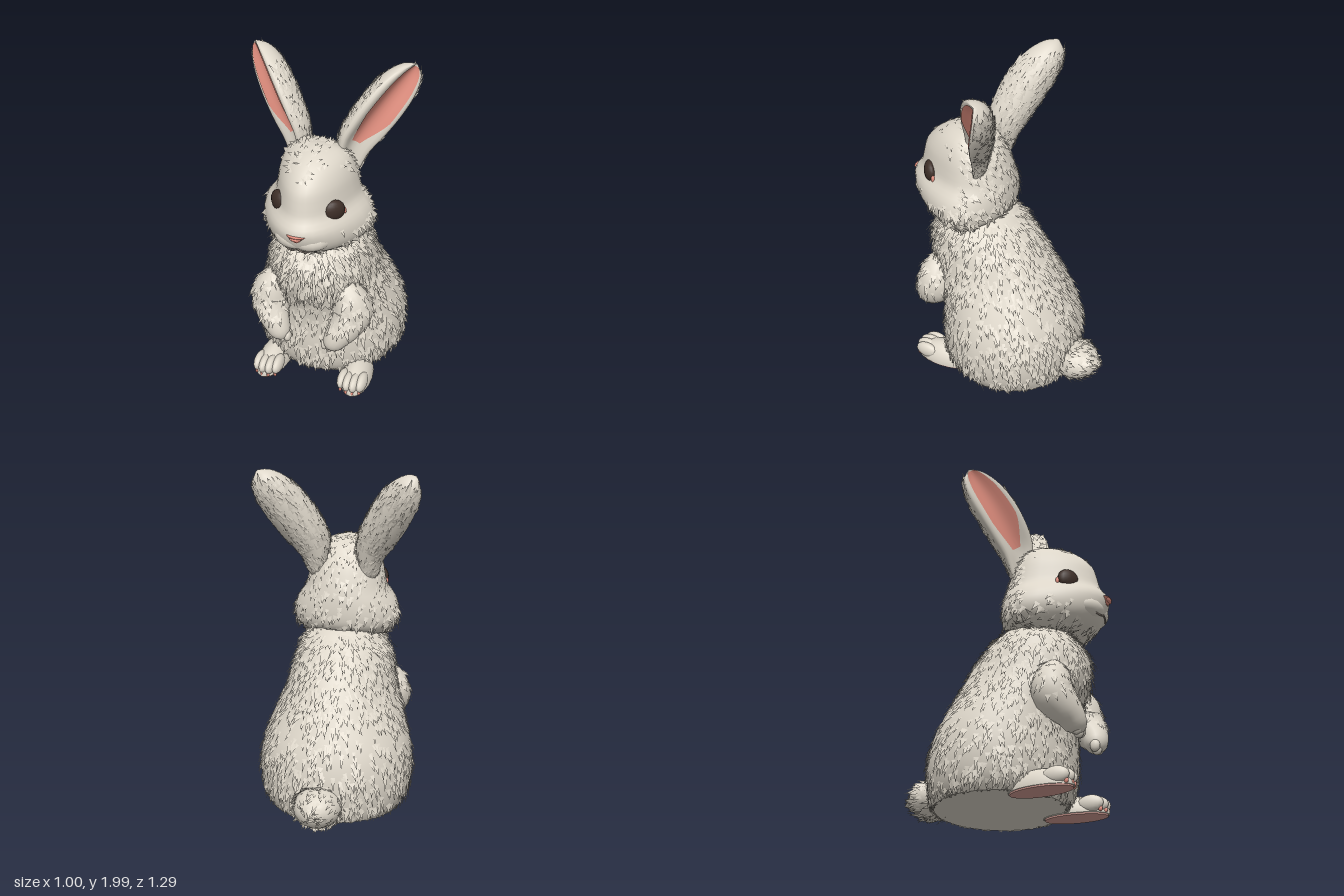
import * as THREE from 'three';
import { toCreasedNormals } from 'three/addons/utils/BufferGeometryUtils.js';

const V = (x, y, z) => new THREE.Vector3(x, y, z);
const TAU = Math.PI * 2;

let seed = 7;
const rand = () => (seed = (seed * 16807) % 2147483647) / 2147483647;
const jitter = a => (rand() - 0.5) * 2 * a;

// Smooth interpolation through rows of numbers, v in 0..1
function sample(rows, v) {
  const n = rows.length - 1, f = Math.min(Math.max(v, 0), 1) * n;
  const i = Math.min(Math.floor(f), n - 1), t = f - i;
  const [a, b, c, d] = [-1, 0, 1, 2].map(k => rows[Math.min(Math.max(i + k, 0), n)]);
  return b.map((_, k) => b[k] + 0.5 * t * (c[k] - a[k] + t * (2 * a[k] - 5 * b[k] + 4 * c[k] - d[k]
    + t * (3 * (b[k] - c[k]) + d[k] - a[k]))));
}

// Upright oval surface from rows of [y, half width, front z, back z]; rise lifts front and back
function ovals(rows, bias = 0.5, pinch = 0, rise = () => 0) {
  return (t, v) => {
    const [y, w, f, b] = sample(rows, v), zc = b + (f - b) * bias, c = Math.cos(t);
    return V(w * Math.sin(t) * (1 - pinch * Math.max(0, c)), y + rise(v) * c * c, zc + c * (c > 0 ? f - zc : zc - b));
  };
}

// Round limb along rows of [x, y, z, radius]
function limb(rows) {
  const at = v => V(...sample(rows, v).slice(0, 3));
  return (t, v) => {
    const T = at(Math.min(v + 0.02, 1)).sub(at(Math.max(v - 0.02, 0))).normalize();
    const U = V(1, 0, 0).addScaledVector(T, -T.x).normalize(), W = T.clone().cross(U);
    const r = sample(rows, v)[3];
    return at(v).addScaledVector(U, r * Math.cos(t)).addScaledVector(W, r * Math.sin(t));
  };
}

// Mesh a surface P(t, v); closed ones wrap round and get end caps
function skin(P, nu, nv, closed = true) {
  const pos = [], idx = [], cols = closed ? nu : nu + 1;
  for (let i = 0; i <= nv; i++)
    for (let j = 0; j < cols; j++) pos.push(...P(closed ? j / nu * TAU : j / nu, i / nv).toArray());
  for (let i = 0; i < nv; i++)
    for (let j = 0; j < nu; j++) {
      const k = (j + 1) % cols, a = i * cols, b = a + cols;
      idx.push(a + j, a + k, b + k, a + j, b + k, b + j);
    }
  if (closed) for (const i of [0, nv]) {
    const mid = V(0, 0, 0), c = pos.length / 3;
    for (let j = 0; j < nu; j++) mid.add(V(...pos.slice((i * nu + j) * 3, (i * nu + j) * 3 + 3)));
    pos.push(...mid.divideScalar(nu).toArray());
    for (let j = 0; j < nu; j++) {
      const a = i * nu + j, b = i * nu + (j + 1) % nu;
      idx.push(...(i ? [a, b, c] : [b, a, c]));
    }
  }
  const g = new THREE.BufferGeometry();
  g.setAttribute('position', new THREE.Float32BufferAttribute(pos, 3));
  g.setIndex(idx);
  return toCreasedNormals(g, 0.8);
}

// Flat pointed tufts of fur scattered over a surface
function tufts(P, count, { len = 0.065, lift = 0.016, flow = () => V(0, -1, 0), keep = () => true, range = [0, TAU], out = 1 }) {
  const pos = [];
  for (let i = 0; i < count; i++) {
    const t = range[0] + rand() * (range[1] - range[0]), v = 0.01 + rand() * 0.97;
    const p = P(t, v);
    if (!keep(p)) continue;
    const n = P(t + 0.02, v).sub(p).cross(P(t, v + 0.01).sub(p)).normalize().multiplyScalar(out);
    const d = flow(p).add(V(jitter(0.35), jitter(0.35), jitter(0.35)));
    d.addScaledVector(n, -d.dot(n)).normalize();
    const l = len * (0.7 + rand() * 0.6), w = 0.01 + rand() * 0.007, s = n.clone().cross(d);
    const tip = p.clone().addScaledVector(d, l).addScaledVector(n, lift * (0.7 + rand() * 0.6));
    const a = p.clone().addScaledVector(s, -w), b = p.clone().addScaledVector(s, w);
    const c = p.clone().addScaledVector(n, w * 0.35).addScaledVector(d, w);
    for (const q of [a, tip, c, c, tip, b, b, tip, a]) pos.push(q.x, Math.max(q.y, 0.01), q.z);
  }
  const g = new THREE.BufferGeometry();
  g.setAttribute('position', new THREE.Float32BufferAttribute(pos, 3));
  g.computeVertexNormals();
  return g;
}

const blob = (x, y, z, rx, ry, rz, turn = 0) =>
  new THREE.SphereGeometry(1, 16, 12).scale(rx, ry, rz).rotateY(turn).translate(x, y, z);

export function createModel() {
  const model = new THREE.Group();
  const mat = (name, color, side = THREE.FrontSide) => {
    const m = new THREE.MeshStandardMaterial({ color, side });
    m.name = name;
    return m;
  };
  const fur = mat('cream fur', 0xded7ca, THREE.DoubleSide);
  const pink = mat('pink skin', 0xe39080, THREE.DoubleSide);
  const pad = mat('pale pink sole', 0xd29d94);
  const dark = mat('dark brown eye', 0x3e2f28);
  const line = mat('mouth shadow', 0x958a80);

  const add = (name, geo, m) => {
    const mesh = new THREE.Mesh(geo, m);
    mesh.name = name;
    model.add(mesh);
  };
  // Left part plus its mirrored twin
  const pair = (name, geo, m) => {
    const g = geo.clone().scale(-1, 1, 1);
    const idx = g.index ? [...g.index.array] : [...Array(g.attributes.position.count).keys()];
    g.setIndex(idx.reverse());
    add('left ' + name, geo, m);
    add('right ' + name, g, m);
  };

  // Body
  const body = ovals([[0.015, 0.39, 0.32, -0.42], [0.1, 0.44, 0.37, -0.445], [0.24, 0.46, 0.39, -0.455], [0.4, 0.44, 0.39, -0.425],
    [0.56, 0.385, 0.42, -0.355], [0.7, 0.33, 0.48, -0.285], [0.84, 0.3, 0.49, -0.2], [0.95, 0.26, 0.44, -0.115], [1.05, 0.18, 0.35, 0.0]], 0.5, 0.02);
  add('body', skin(body, 36, 24), fur);
  add('body fur', tufts(body, 2300, { flow: p => V(p.x * 0.6, -1, p.z < 0 ? -0.3 : 0) }), fur);
  add('chest ruff', tufts(body, 420, { len: 0.1, lift: 0.02, keep: p => p.z > 0.25 && p.y > 0.6, flow: p => V(p.x * 2, -1, 0) }), fur);

  // Tail
  const tail = (t, v) => {
    const a = (v - 0.5) * 3.1;
    return V(0.14 * Math.cos(a) * Math.sin(t), 0.13 + 0.115 * Math.sin(a), -0.47 + 0.145 * Math.cos(a) * Math.cos(t));
  };
  add('tail', skin(tail, 18, 12), fur);
  add('tail fur', tufts(tail, 260, { len: 0.055, lift: 0.016, flow: () => V(0, 0.1, -1) }), fur);

  // Head, with the jaw rising towards chin and nape
  const head = ovals([[0.978, 0.14, 0.4, 0.12], [1.0, 0.225, 0.5, 0.05], [1.055, 0.3, 0.565, 0.005], [1.13, 0.322, 0.605, -0.01],
    [1.21, 0.298, 0.622, -0.01], [1.28, 0.25, 0.578, 0.0], [1.35, 0.232, 0.56, 0.02], [1.43, 0.215, 0.535, 0.05], [1.51, 0.18, 0.465, 0.1],
    [1.56, 0.12, 0.38, 0.16], [1.583, 0.03, 0.29, 0.24]], 0.38, 0.22, v => 0.05 * Math.max(0, 1 - v * 3.5));
  add('head', skin(head, 32, 30), fur);
  const back = () => V(0, -0.7, -0.7);
  add('head fur', tufts(head, 800, { len: 0.05, lift: 0.012, flow: back, keep: p => p.z < 0.22 }), fur);
  add('cheek fur', tufts(head, 900, { len: 0.055, lift: 0.016, flow: p => V(p.x * 2.5, -0.8, -0.2), keep: p => p.z > 0.1 && p.y < (Math.abs(p.x) > 0.2 ? 1.2 : 1.06) }), fur);
  add('brow fur', tufts(head, 320, { len: 0.045, lift: 0.008, flow: back, keep: p => p.y > 1.46 }), fur);

  // Muzzle, nose and mouth
  pair('muzzle puff', blob(0.055, 1.135, 0.512, 0.115, 0.07, 0.088, 0.4), fur);
  const nose = new THREE.CylinderGeometry(0.052, 0.012, 0.04, 12, 3).scale(1, 1, 0.5);
  add('nose', nose.translate(0, 1.182, 0.615), pink);
  add('nose tip', blob(0, 1.19, 0.624, 0.034, 0.015, 0.018), pink);
  const smile = [[0, 1.105, 0.592], [0.03, 1.088, 0.592], [0.07, 1.09, 0.576], [0.11, 1.11, 0.553]].map(p => V(...p));
  pair('mouth line', new THREE.TubeGeometry(new THREE.CatmullRomCurve3(smile), 12, 0.005, 5), line);

  // Eyes
  const turn = 0.7;
  pair('eye', blob(0.156, 1.29, 0.438, 0.067, 0.065, 0.038, turn), dark);
  pair('eye corner', blob(0.204, 1.272, 0.39, 0.011, 0.022, 0.012, turn), pink);

  // Ears: hollowed front, deeply rounded back
  const n = V(0.64, -0.13, 0.74).normalize(), b = V(0.56, -0.57, -0.58).normalize();
  const spine = [[0.15, 1.4, 0.15], [0.18, 1.53, 0.14], [0.245, 1.64, 0.11], [0.32, 1.755, 0.065], [0.393, 1.865, 0.01], [0.445, 1.945, -0.035], [0.465, 1.985, -0.055]];
  const widths = [[0.075], [0.108], [0.128], [0.133], [0.117], [0.072], [0.008]];
  const ear = (t, v) => {
    const w = sample(widths, v)[0], s = Math.sin(t);
    const depth = w * (s < 0 ? 1.05 * s : 0.43 * s - 0.6 * s ** 4);
    return V(...sample(spine, v)).addScaledVector(b, w * Math.cos(t)).addScaledVector(n, depth);
  };
  pair('ear', skin((t, v) => ear(-t, v), 28, 20), fur);
  const inner = (u, v) => {
    const spread = 0.74 * Math.min(1, 0.35 + v * 2.2);
    return ear(Math.PI / 2 + (0.5 - u) * 2 * spread, 0.2 + v * 0.74).addScaledVector(n, 0.005);
  };
  pair('inner ear', skin(inner, 10, 16, false), pink);
  const along = () => V(0.51, 0.8, -0.3);
  pair('ear fur', tufts(ear, 460, { len: 0.05, lift: 0.008, range: [Math.PI * 0.98, TAU * 1.01], out: -1, flow: along, keep: p => p.y < 1.92 }), fur);

  // Arms and paws
  const arm = limb([[0.2, 0.74, 0.36, 0.05], [0.235, 0.66, 0.365, 0.1], [0.25, 0.565, 0.365, 0.12], [0.228, 0.49, 0.41, 0.102],
    [0.19, 0.43, 0.45, 0.08], [0.158, 0.375, 0.468, 0.06], [0.145, 0.345, 0.47, 0.025]]);
  pair('arm', skin(arm, 16, 18), fur);
  pair('arm fur', tufts(arm, 200, { len: 0.06, lift: 0.012, keep: p => p.y > 0.5 }), fur);
  for (let i = 0; i < 3; i++)
    pair('paw toe', blob(0.115 + i * 0.032, 0.365 - (i % 2) * 0.01, 0.475, 0.022, 0.036, 0.03), fur);

  // Feet with toes, claws and soles
  const foot = blob(0, 0, 0, 0.095, 0.115, 0.195);
  const fp = foot.attributes.position;
  for (let i = 0; i < fp.count; i++) fp.setY(i, Math.max(fp.getY(i), 0));
  foot.computeVertexNormals();
  pair('foot', foot.rotateY(0.08).translate(0.265, 0.012, 0.3), fur);
  for (let i = 0; i < 4; i++) {
    const x = 0.208 + i * 0.039, z = 0.405 + (i === 1 || i === 2 ? 0.016 : 0);
    pair('toe', blob(x, 0.063, z, 0.033, 0.05, 0.077), fur);
    pair('claw', blob(x, 0.028, z + 0.058, 0.009, 0.016, 0.013), pink);
  }
  const sole = new THREE.CylinderGeometry(1, 1, 0.009, 24).scale(0.088, 1, 0.185);
  pair('sole', sole.rotateY(0.08).translate(0.266, 0.0065, 0.3), pad);

  return model;
}
